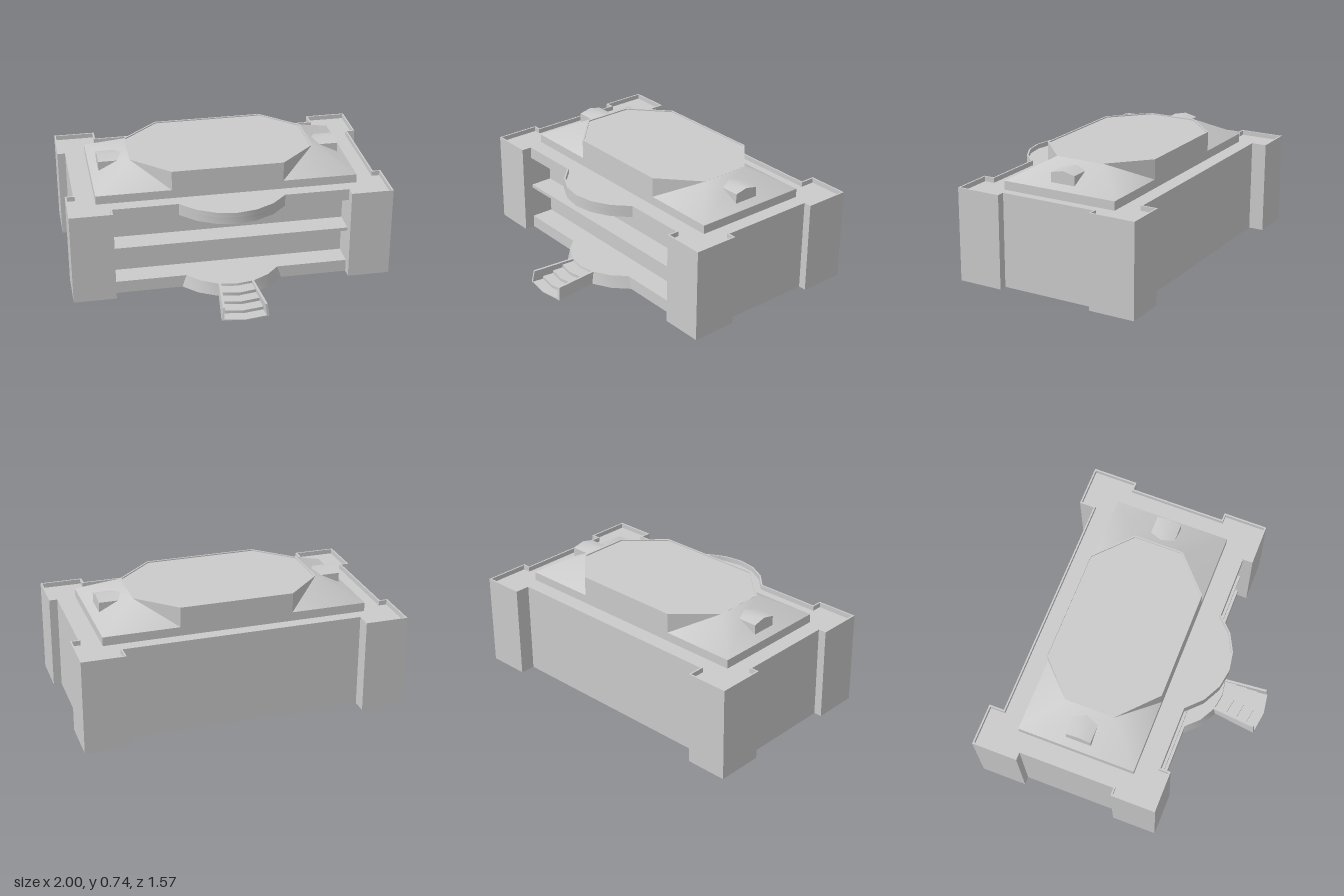
import * as THREE from 'three';
import { toCreasedNormals } from 'three/addons/utils/BufferGeometryUtils.js';

const material = new THREE.MeshStandardMaterial({ color: 0xcccccc });

// Shallow bends are shaded smooth, sharper corners keep their edges.
function add(parent, name, geometry) {
  const mesh = new THREE.Mesh(toCreasedNormals(geometry, 0.7), material);
  mesh.name = name;
  parent.add(mesh);
  return mesh;
}

// Mirror a half outline (x >= 0, front to back) into a closed plan of [x, z] points.
function mirrored(half) {
  const other = half.filter(p => p[0] > 0).reverse().map(([x, z]) => [-x, z]);
  return [...half, ...other];
}

// Move every edge of a plan inward by d, with mitred corners.
function inset(points, d) {
  const n = points.length;
  const normal = (a, b) => {
    const l = Math.hypot(b[0] - a[0], b[1] - a[1]);
    return [(b[1] - a[1]) / l, -(b[0] - a[0]) / l];
  };
  return points.map((p, i) => {
    const u = normal(points[(i + n - 1) % n], p);
    const v = normal(p, points[(i + 1) % n]);
    const k = d / (1 + u[0] * v[0] + u[1] * v[1]);
    return [p[0] + (u[0] + v[0]) * k, p[1] + (u[1] + v[1]) * k];
  });
}

// Raise a plan of [x, z] points from y0 to y1.
function raise(points, y0, y1, hole) {
  const vectors = list => list.map(([x, z]) => new THREE.Vector2(x, -z));
  const shape = new THREE.Shape(vectors(points));
  if (hole) shape.holes.push(new THREE.Path(vectors(hole)));
  const g = new THREE.ExtrudeGeometry(shape, { depth: y1 - y0, bevelEnabled: false });
  return g.rotateX(-Math.PI / 2).translate(0, y0, 0);
}

// Shift the upper vertices of a low part by a rule (x, z) => [x, z].
function batter(geometry, rule) {
  const p = geometry.attributes.position;
  for (let i = 0; i < p.count; i++) {
    if (p.getY(i) < 0.04) continue;
    const [x, z] = rule(p.getX(i), p.getZ(i));
    p.setX(i, x);
    p.setZ(i, z);
  }
  return geometry;
}

// Building plan with four corner pavilions; the front middle varies by storey.
function footprint(front) {
  return mirrored([
    ...front, [0.735, 0.40], [1, 0.40], [1, 0.115], [0.95, 0.115], [0.95, -0.495],
    [1, -0.495], [1, -0.785], [0.735, -0.785], [0.735, -0.69],
  ]);
}

export function createModel() {
  const model = new THREE.Group();
  model.name = 'building';

  const FLOOR = 0.08, CEILING = 0.51, DECK = 0.555, PARAPET = 0.585;
  const EAVES = 0.61, TOP = 0.735, TOP_DECK = 0.728, MID_Z = -0.18;

  // Storeys: podium, recessed walls, gallery slab, roof slab with a bowed front
  add(model, 'podium', raise(footprint([[0.735, 0.335]]), 0, FLOOR));
  add(model, 'walls', raise(footprint([[0.735, 0.19]]), FLOOR, CEILING));
  const gallery = add(model, 'gallerySlab', new THREE.BoxGeometry(1.47, 0.022, 0.145));
  gallery.position.set(0, 0.304, 0.2625);
  const roofPlan = footprint([[0, 0.51], [0.12, 0.49], [0.235, 0.43], [0.33, 0.335], [0.735, 0.335]]);
  add(model, 'roofSlab', raise(roofPlan, CEILING, DECK));
  add(model, 'parapet', raise(roofPlan, DECK, PARAPET, inset(roofPlan, 0.01)));

  // Bowed terrace with battered sides
  const bow = raise(mirrored([[0, 0.502], [0.12, 0.482], [0.23, 0.422], [0.32, 0.33]]), 0, FLOOR);
  add(model, 'terrace', batter(bow, (x, z) => [x * 0.92, 0.33 + (z - 0.33) * 0.93]));

  // Flared stairs with pointed treads between two low side walls
  const stairs = new THREE.Group();
  stairs.name = 'stairs';
  model.add(stairs);
  const halfWidth = z => 0.10 + (z - 0.5) * 0.125;
  for (let i = 0; i < 4; i++) {
    const z = 0.553 + i * 0.07, z0 = 0.46 + i * 0.07;
    const plan = mirrored([[0, z + 0.02], [halfWidth(z), z], [halfWidth(z0), z0]]);
    add(stairs, 'step', raise(plan, 0, 0.065 - i * 0.02));
  }
  for (const side of [1, -1]) {
    const plan = [[0.095, 0.46], [0.132, 0.765], [0.147, 0.762], [0.11, 0.46]];
    const wall = raise(plan.map(([x, z]) => [x * side, z]), 0, FLOOR);
    add(stairs, 'stairWall', batter(wall, (x, z) => (z > 0.7 ? [x * 0.93, z - 0.011] : [x, z])));
  }

  // Roof: fascia and raised octagonal block with a thin rim
  const fascia = add(model, 'roofFascia', new THREE.BoxGeometry(1.64, EAVES - DECK, 0.75));
  fascia.position.set(0, (EAVES + DECK) / 2, MID_Z);
  const octagon = mirrored([[0.35, 0.195], [0.58, -0.02], [0.58, -0.34], [0.35, -0.555]]);
  add(model, 'roofBlock', raise(octagon, EAVES, TOP_DECK));
  add(model, 'roofRim', raise(octagon, TOP_DECK, TOP, inset(octagon, 0.01)));

  // Each end, built around the roof centre and turned for the opposite side
  for (const turn of [0, Math.PI]) {
    const end = new THREE.Group();
    end.name = turn ? 'rightRoofEnd' : 'leftRoofEnd';
    end.position.z = MID_Z;
    end.rotation.y = turn;
    model.add(end);

    // Sloping side with triangular corners, softly shaded across the hips
    const A = [0.82, EAVES, 0.375], B = [0.82, EAVES, -0.375];
    const C = [0.579, TOP, -0.158], D = [0.579, TOP, 0.158];
    const E = [0.35, EAVES, 0.375], F = [0.35, EAVES, -0.375];
    const slope = new THREE.BufferGeometry();
    slope.setAttribute('position', new THREE.Float32BufferAttribute(
      [A, B, C, A, C, D, E, A, D, B, F, C].flat(), 3));
    add(end, 'roofSlope', slope);

    // Gabled dormer
    const gable = new THREE.Shape([[-0.08, 0.63], [0.08, 0.63], [0.08, 0.697], [0, 0.715], [-0.08, 0.697]]
      .map(([x, y]) => new THREE.Vector2(x, y)));
    const dormer = new THREE.ExtrudeGeometry(gable, { depth: 0.165, bevelEnabled: false });
    add(end, 'dormer', dormer.rotateY(Math.PI / 2).translate(0.605, 0, 0));
  }

  return model;
}
